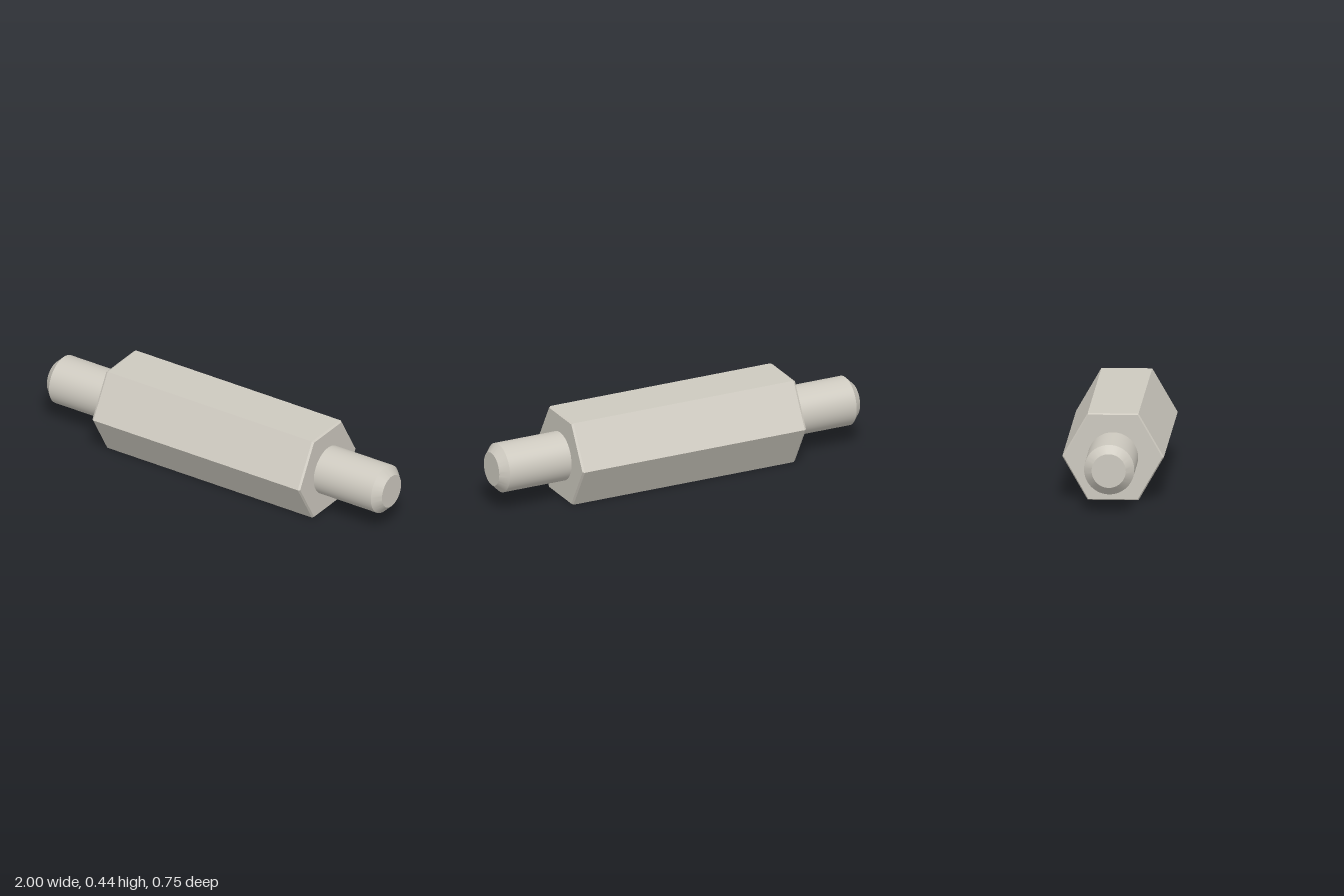
import * as THREE from 'three';
import { toCreasedNormals } from 'three/addons/utils/BufferGeometryUtils.js';

const HALF = 0.622;         // half length of the hexagonal body
const APOTHEM = 0.219;      // body centre to flat
const CORNER = APOTHEM / Math.cos(Math.PI / 6);
const TIP = 1.004;          // axis centre to stud tip

// Turn a [radius, position] profile about the x axis, keeping hard edges
function turned(profile, sides) {
  const points = profile.map(([r, t]) => new THREE.Vector2(r, t));
  const geometry = new THREE.LatheGeometry(points, sides);
  geometry.rotateZ(-Math.PI / 2);
  return toCreasedNormals(geometry, 0.4);
}

export function createModel() {
  const group = new THREE.Group();
  group.name = 'hexStandoff';

  const metal = new THREE.MeshStandardMaterial({ color: 0xcdc9bf });
  metal.name = 'paleMetal';

  // Hexagonal body, flat on top and bottom, with finely bevelled ends
  const body = new THREE.Mesh(turned([
    [0, -HALF], [CORNER - 0.007, -HALF], [CORNER, -HALF + 0.01],
    [CORNER, HALF - 0.01], [CORNER - 0.007, HALF], [0, HALF],
  ], 6), metal);
  body.name = 'hexBody';
  group.add(body);

  // Round studs with chamfered tips, one at each end
  const studGeometry = turned([
    [0.125, HALF - 0.01], [0.125, TIP - 0.04], [0.085, TIP], [0, TIP],
  ], 64);
  for (const [name, turn] of [['leftStud', 0], ['rightStud', Math.PI]]) {
    const stud = new THREE.Mesh(studGeometry, metal);
    stud.name = name;
    stud.rotation.y = turn;
    group.add(stud);
  }

  // Resting on a flat, swung slightly about the vertical
  group.position.y = APOTHEM;
  group.rotation.y = -THREE.MathUtils.degToRad(12);
  return group;
}
